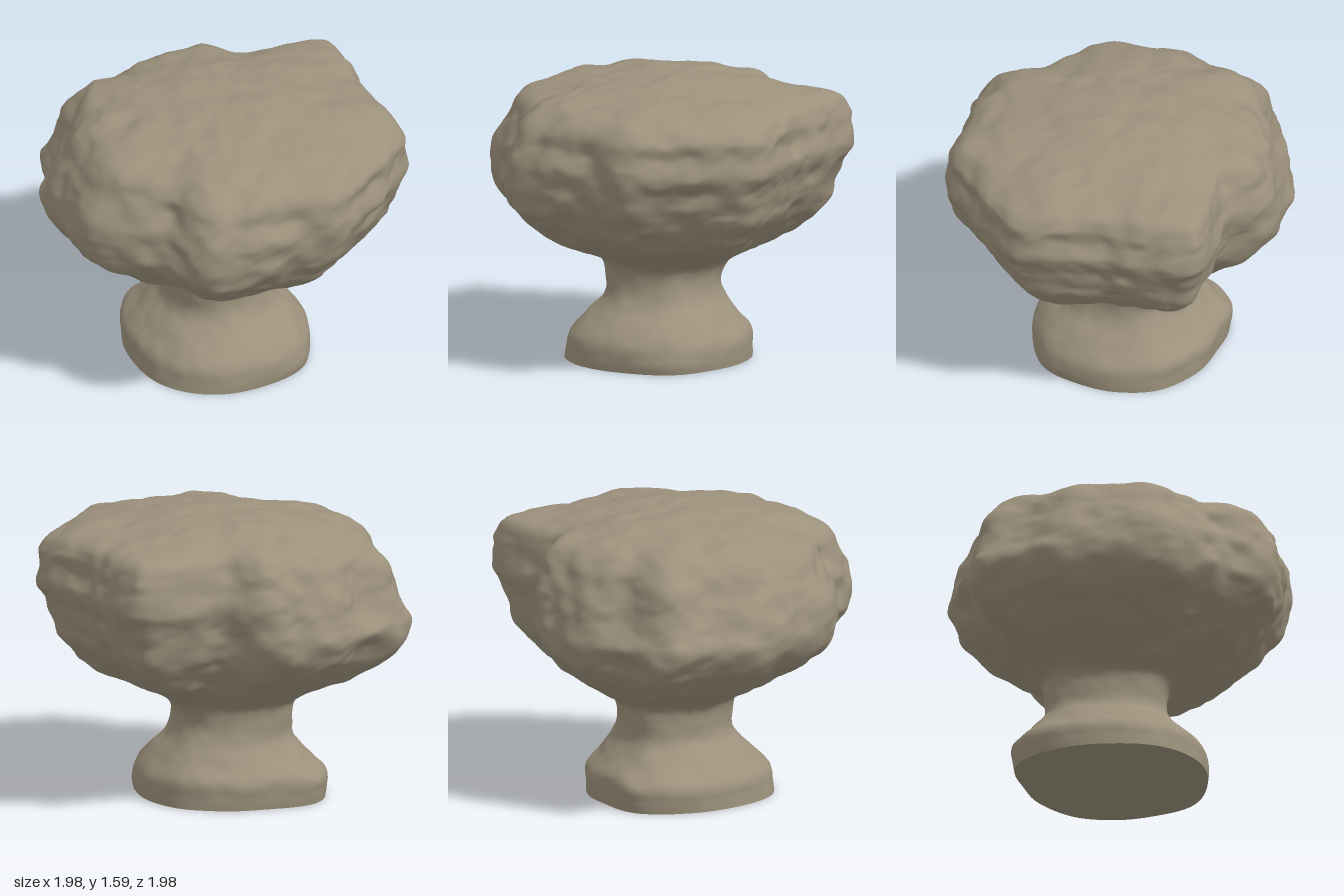
import * as THREE from 'three';

// Height, then reach towards +x, -x, +z and -z
const ROWS = [
  [0.01, 0.51, 0.58, 0.57, 0.45],
  [0.07, 0.52, 0.59, 0.56, 0.45],
  [0.16, 0.50, 0.59, 0.54, 0.44],
  [0.25, 0.43, 0.49, 0.45, 0.37],
  [0.34, 0.33, 0.41, 0.36, 0.31],
  [0.44, 0.29, 0.40, 0.34, 0.28],
  [0.54, 0.31, 0.41, 0.36, 0.32],
  [0.61, 0.45, 0.51, 0.46, 0.44],
  [0.70, 0.65, 0.71, 0.64, 0.61],
  [0.80, 0.77, 0.84, 0.80, 0.73],
  [0.90, 0.84, 0.93, 0.92, 0.83],
  [1.00, 0.90, 0.97, 0.97, 0.87],
  [1.10, 0.93, 0.92, 0.97, 0.91],
  [1.20, 0.97, 0.88, 0.94, 0.96],
  [1.30, 0.95, 0.84, 0.88, 0.93],
  [1.39, 0.95, 0.79, 0.83, 0.92],
  [1.47, 0.86, 0.71, 0.74, 0.85],
  [1.52, 0.68, 0.58, 0.58, 0.58],
  [1.555, 0.45, 0.40, 0.38, 0.38],
  [1.58, 0.22, 0.21, 0.20, 0.20],
  [1.585, 0, 0, 0, 0],
];
// Lobes around the cap (every 15 degrees) and the foot (every 30)
const CAP = [0.98, 1.04, 0.98, 1.02, 1.06, 0.93, 0.98, 1.03, 1.0, 1.04, 1.01, 1.08,
  0.95, 0.95, 0.91, 0.89, 0.75, 0.84, 1.04, 0.97, 0.90, 0.95, 1.04, 0.99];
const FOOT = [1, 0.99, 1.01, 1, 0.95, 0.97, 1, 0.88, 0.94, 1, 0.95, 0.92];

function cubic(a, b, c, d, t) {
  return b + 0.5 * t * (c - a + t * (2 * a - 5 * b + 4 * c - d + t * (3 * (b - c) + d - a)));
}

function aroundLoop(list, turn) {
  const n = list.length, i = Math.floor(turn * n), at = (k) => list[(k + n) % n];
  return cubic(at(i - 1), at(i), at(i + 1), at(i + 2), turn * n - i);
}

function rowAt(u) {
  const last = ROWS.length - 1, i = Math.min(Math.floor(u * last), last - 1);
  const at = (k) => ROWS[Math.max(0, Math.min(last, k))];
  return ROWS[0].map((_, c) => cubic(at(i - 1)[c], at(i)[c], at(i + 1)[c], at(i + 2)[c], u * last - i));
}

// Smooth seeded noise in -1..1
function hash(x, y, z) {
  let h = Math.imul(x, 374761393) ^ Math.imul(y, 668265263) ^ Math.imul(z, 2147386117);
  h = Math.imul(h ^ (h >>> 13), 1274126177);
  h = Math.imul(h ^ (h >>> 15), 2246822519);
  return ((h ^ (h >>> 16)) >>> 0) / 2147483648 - 1;
}

function noise(x, y, z) {
  const [i, j, k] = [x, y, z].map(Math.floor);
  const [u, v, w] = [x - i, y - j, z - k].map((t) => t * t * (3 - 2 * t));
  const mix = THREE.MathUtils.lerp;
  const edge = (b, c) => mix(hash(i, j + b, k + c), hash(i + 1, j + b, k + c), u);
  return mix(mix(edge(0, 0), edge(1, 0), v), mix(edge(0, 1), edge(1, 1), v), w);
}

function rough(x, y, z) {
  return 0.3 * noise(x * 5 + 30, y * 6 + 30, z * 5 + 30)
    + 0.5 * noise(x * 9 + 60, y * 10 + 60, z * 9 + 60)
    + 0.15 * noise(x * 20 + 90, y * 22 + 90, z * 20 + 90);
}

function rockPoint(u, turn) {
  const [y, px, nx, pz, nz] = rowAt(u);
  const a = turn * Math.PI * 2, c = Math.cos(a), s = Math.sin(a);
  const reach = (c > 0 ? px : nx) * c * c + (s > 0 ? pz : nz) * s * s;
  const inCap = THREE.MathUtils.smoothstep(y, 0.45, 0.75);
  let r = reach * THREE.MathUtils.lerp(aroundLoop(FOOT, turn), aroundLoop(CAP, turn), inCap);
  // Weathering: strong on the cap, lighter on the stem, none under the foot
  const x = r * c, z = r * s;
  const amount = THREE.MathUtils.lerp(0.02, 0.04, inCap) * THREE.MathUtils.smoothstep(y, 0.01, 0.2);
  r += amount * rough(x, y, z) * Math.min(1, r * 2);
  const lift = amount * 0.6 * rough(x + 7, y + 3, z + 5);
  return [r * c, y + lift, r * s];
}

export function createModel() {
  const group = new THREE.Group();
  group.name = 'mushroomRock';
  const stone = new THREE.MeshStandardMaterial({ color: 0x9c917c });
  stone.name = 'weathered stone';

  function addPart(name, positions, index) {
    const geometry = new THREE.BufferGeometry();
    geometry.setAttribute('position', new THREE.Float32BufferAttribute(positions, 3));
    geometry.setIndex(index);
    geometry.computeVertexNormals();
    const mesh = new THREE.Mesh(geometry, stone);
    mesh.name = name;
    group.add(mesh);
  }

  // Rock body, lofted ring by ring from the foot to the crown
  const around = 200, rings = 140, positions = [], index = [];
  for (let j = 0; j <= rings; j++) {
    for (let i = 0; i < around; i++) positions.push(...rockPoint(j / rings, i / around));
  }
  for (let j = 0; j < rings; j++) {
    for (let i = 0; i < around; i++) {
      const a = j * around + i, b = j * around + (i + 1) % around;
      index.push(a, a + around, b, b, a + around, b + around);
    }
  }
  addPart('rockBody', positions, index);

  // Flat underside, sharing the outline of the lowest ring
  const underIndex = [];
  for (let i = 0; i < around; i++) underIndex.push(0, 1 + i, 1 + (i + 1) % around);
  addPart('underside', [0, ROWS[0][0], 0, ...positions.slice(0, around * 3)], underIndex);
  return group;
}
